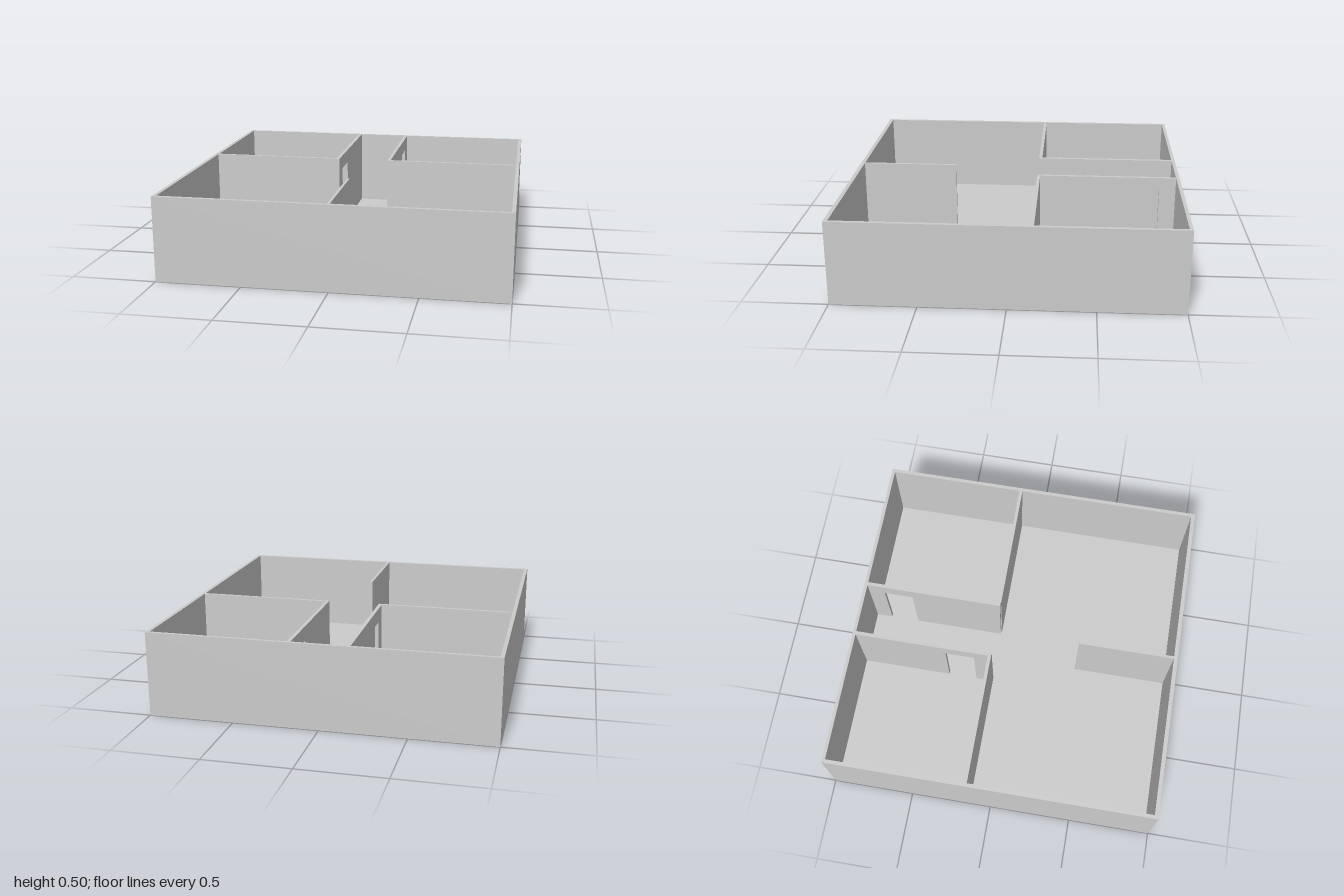
import * as THREE from 'three';

const HEIGHT = 0.5, FLOOR = 0.012, DOOR_TOP = 0.415;

export function createModel() {
  const house = new THREE.Group();
  house.name = 'floorPlan';
  const material = new THREE.MeshStandardMaterial({ color: 0xcccccc, flatShading: true });

  const add = (name, geometry, parent = house) => {
    const mesh = new THREE.Mesh(geometry, material);
    mesh.name = name;
    parent.add(mesh);
    return mesh;
  };

  // Box given by its limits on each axis
  const block = (name, [x0, x1], [y0, y1], [z0, z1], parent) =>
    add(name, new THREE.BoxGeometry(x1 - x0, y1 - y0, z1 - z0), parent)
      .position.set((x0 + x1) / 2, (y0 + y1) / 2, (z0 + z1) / 2);

  block('floor', [-1, 1], [0, FLOOR], [-1, 1]);

  // Outer walls: a square ring; shape y becomes -z
  const ring = new THREE.Shape([[-1, -1], [1, -1], [1, 1], [-1, 1]].map(p => new THREE.Vector2(...p)));
  ring.holes.push(new THREE.Path(
    [[-0.978, -0.976], [-0.978, 0.98], [0.978, 0.98], [0.978, -0.976]].map(p => new THREE.Vector2(...p))));
  const outer = new THREE.ExtrudeGeometry(ring, { depth: HEIGHT, bevelEnabled: false });
  outer.rotateX(-Math.PI / 2);
  add('outerWalls', outer);

  // Corridor wall with a doorway, extruded through its thickness
  const corridorWall = (name, x0, x1, zEnd, doorNear, doorFar) => {
    const outline = [
      [-zEnd, FLOOR], [-doorNear, FLOOR], [-doorNear, DOOR_TOP], [-doorFar, DOOR_TOP],
      [-doorFar, FLOOR], [0.98, FLOOR], [0.98, HEIGHT], [-zEnd, HEIGHT],
    ].map(p => new THREE.Vector2(...p));
    const geometry = new THREE.ExtrudeGeometry(new THREE.Shape(outline), { depth: x1 - x0, bevelEnabled: false });
    geometry.rotateY(Math.PI / 2);
    add(name, geometry).position.x = x0;
  };
  corridorWall('rightCorridorWall', -0.18, -0.158, -0.13, -0.24, -0.42);
  corridorWall('leftCorridorWall', 0.156, 0.177, -0.135, -0.70, -0.88);

  // Front walls of the two back rooms
  block('rightRoomWall', [-0.978, -0.18], [FLOOR, HEIGHT], [-0.15, -0.13]);
  block('leftRoomWall', [0.177, 0.978], [FLOOR, HEIGHT], [-0.15, -0.13]);

  // Short wall dividing the front space
  block('frontPartition', [-0.008, 0.008], [FLOOR, HEIGHT], [0.39, 0.976]);

  return house;
}
